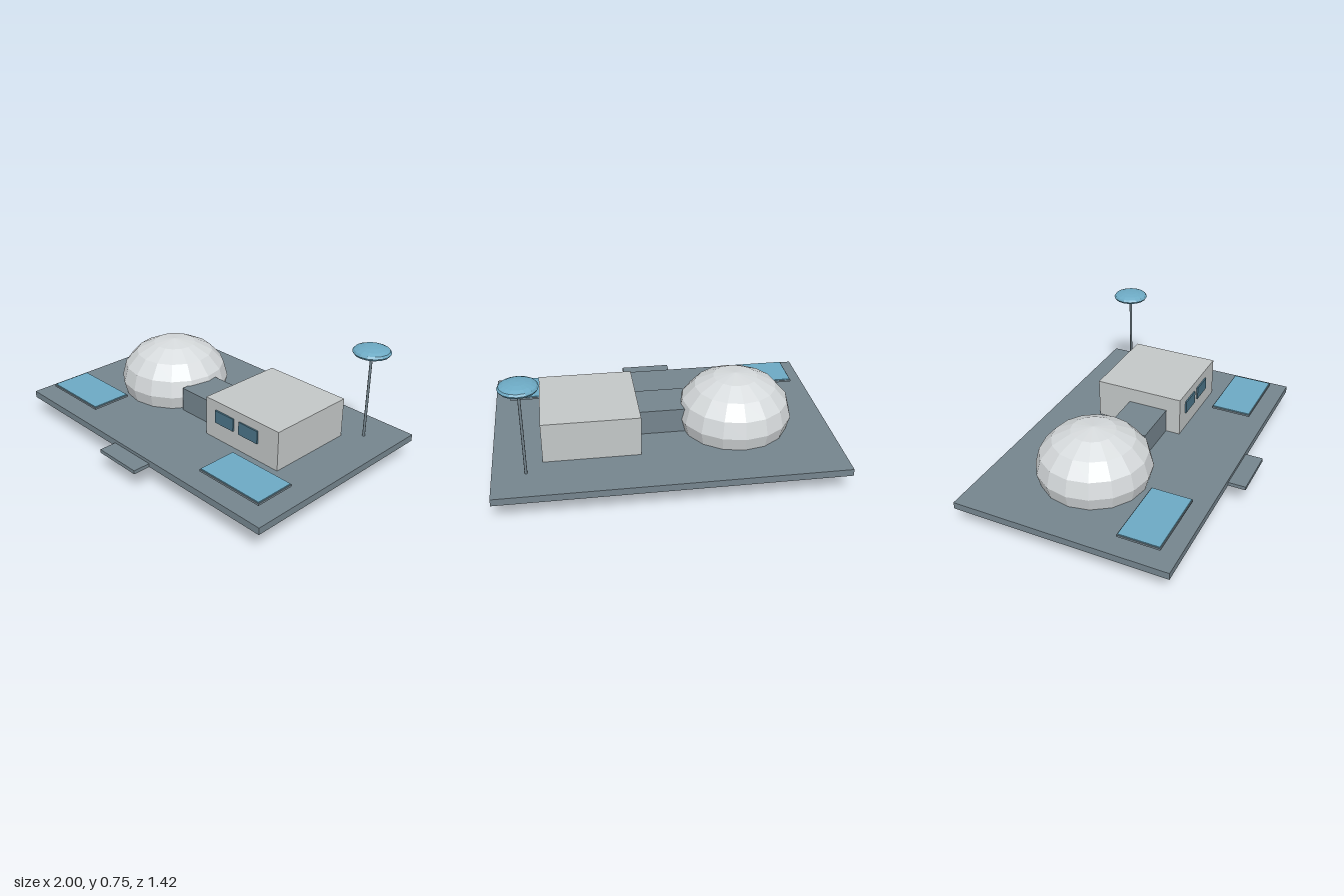
import * as THREE from 'three';

const mat = (name, color, flatShading = false) => {
  const m = new THREE.MeshStandardMaterial({ color, flatShading });
  m.name = name;
  return m;
};

export function createModel() {
  const group = new THREE.Group();
  const slate = mat('slate', 0x75858e);
  const wall = mat('wall grey', 0xc3c7c7);
  const shell = mat('dome white', 0xd6dadc, true);
  const glass = mat('window blue', 0x4a7488);
  const panelBlue = mat('panel blue', 0x6daac4);
  const dishBlue = mat('dish blue', 0x6daac4, true);

  const add = (name, geometry, material, x, y, z, parent = group) => {
    const mesh = new THREE.Mesh(geometry, material);
    mesh.name = name;
    mesh.position.set(x, y, z);
    parent.add(mesh);
    return mesh;
  };
  // Box given by its lower and upper limits on each axis
  const box = (name, material, [x0, x1], [y0, y1], [z0, z1], parent) =>
    add(name, new THREE.BoxGeometry(x1 - x0, y1 - y0, z1 - z0), material,
      (x0 + x1) / 2, (y0 + y1) / 2, (z0 + z1) / 2, parent);

  // Base slab and entrance step
  box('platform', slate, [-1, 1], [0.132, 0.174], [-0.709, 0.602]);
  box('step', slate, [-0.155, 0.155], [0.132, 0.154], [0.59, 0.709]);

  // Faceted dome that passes through the slab
  const dome = new THREE.SphereGeometry(0.342, 16, 8).scale(1, 0.75, 1);
  add('dome', dome, shell, -0.44, 0.2565, -0.116);

  // Main block, with a corridor to the dome
  box('corridor', slate, [-0.155, 0.16], [0.17, 0.325], [-0.182, 0.07]);
  box('building', wall, [0.155, 0.717], [0.17, 0.418], [-0.397, 0.161]);
  for (const x of [0.238, 0.425])
    box('window', glass, [x, x + 0.144], [0.284, 0.364], [0.162, 0.171]);

  // Solar panels on two legs each, mirrored
  for (const side of [-1, 1]) {
    const panel = new THREE.Group();
    panel.name = 'solarPanel';
    panel.position.set(side * 0.688, 0, 0.383);
    box('panelFrame', slate, [-0.218, 0.218], [0.212, 0.224], [-0.126, 0.126], panel);
    box('panelSurface', panelBlue, [-0.213, 0.213], [0.224, 0.23], [-0.121, 0.121], panel);
    for (const x of [-0.124, 0.124])
      add('panelLeg', new THREE.CylinderGeometry(0.005, 0.005, 0.045, 8), slate, x, 0.192, 0, panel);
    group.add(panel);
  }

  // Antenna mast and flattened dish
  add('mast', new THREE.CylinderGeometry(0.008, 0.008, 0.53, 8), slate, 0.81, 0.435, -0.491);
  const dish = new THREE.SphereGeometry(0.11, 16, 8).scale(1, 0.3, 1);
  add('dish', dish, dishBlue, 0.81, 0.718, -0.491);

  return group;
}
